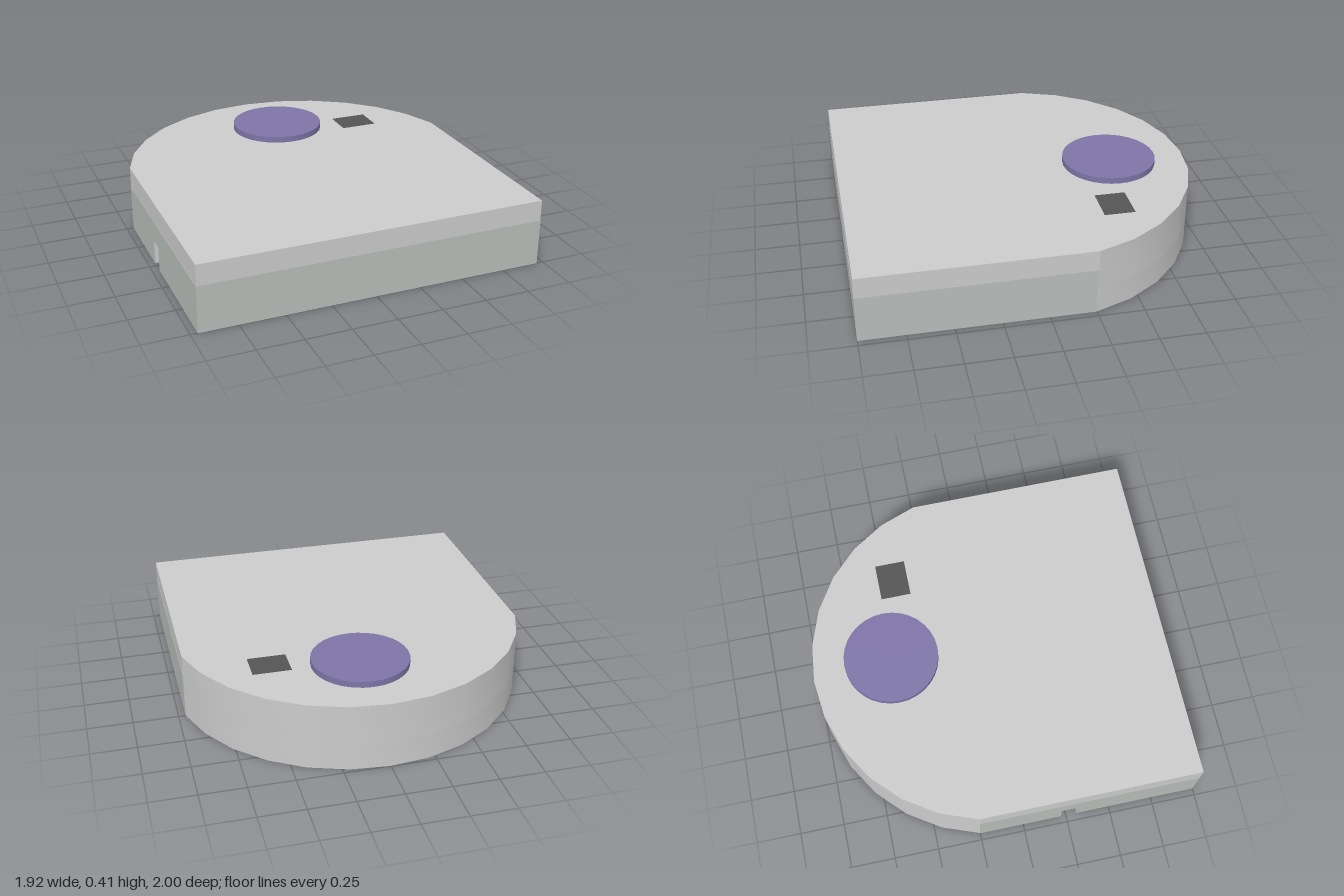
import * as THREE from 'three';
import { toCreasedNormals } from 'three/addons/utils/BufferGeometryUtils.js';

const HALF_W = 0.96, FRONT = 1, ARC_END = -0.25;
const HEIGHT = 0.375, BAND = 0.26, SKIN = 0.002;
const NOTCH = { back: 0.22, front: 0.31, top: 0.14, depth: 0.05 };

const mat = (color) => new THREE.MeshStandardMaterial({ color });

function part(name, geometry, material, x = 0, y = 0, z = 0) {
  const mesh = new THREE.Mesh(geometry, material);
  mesh.name = name;
  mesh.position.set(x, y, z);
  return mesh;
}

const polygon = (pts) => new THREE.Shape(pts.map(([x, y]) => new THREE.Vector2(x, y)));

// Plan outline (x, -z): square front, faceted round back, optional notch on the -x side
function outline(notched) {
  const pts = [[-HALF_W, -FRONT], [HALF_W, -FRONT]];
  const r = 0.99, sweep = Math.asin(HALF_W / r), steps = 12;
  for (let i = 0; i <= steps; i++) {
    const a = sweep * (1 - (2 * i) / steps);
    pts.push([r * Math.sin(a), 1 - r + r * Math.cos(a)]);
  }
  if (notched) {
    const inner = -HALF_W + NOTCH.depth;
    pts.push([-HALF_W, -NOTCH.back], [inner, -NOTCH.back], [inner, -NOTCH.front], [-HALF_W, -NOTCH.front]);
  }
  return polygon(pts);
}

function slab(notched, y0, y1) {
  const g = new THREE.ExtrudeGeometry(outline(notched), { depth: y1 - y0, bevelEnabled: false });
  g.rotateX(-Math.PI / 2).translate(0, y0, 0);
  return toCreasedNormals(g, 0.3);
}

// Thin side band, drawn in (-z, y) and turned to face along x
function sideBand(notched) {
  const pts = [[-FRONT, 0]];
  if (notched) pts.push([-NOTCH.front, 0], [-NOTCH.front, NOTCH.top], [-NOTCH.back, NOTCH.top], [-NOTCH.back, 0]);
  pts.push([-ARC_END, 0], [-ARC_END, BAND], [-FRONT, BAND]);
  return new THREE.ExtrudeGeometry(polygon(pts), { depth: SKIN, bevelEnabled: false }).rotateY(Math.PI / 2);
}

export function createModel() {
  const group = new THREE.Group();
  group.name = 'robotVacuum';
  const grey = mat(0xcccccc), bandMat = mat(0xb8bdba);

  // Body, with the notch only in the lower slab
  group.add(part('lowerBody', slab(true, 0, NOTCH.top), grey));
  group.add(part('upperBody', slab(false, NOTCH.top, HEIGHT), grey));

  // Bumper band around the three straight sides
  group.add(part('frontBand', new THREE.BoxGeometry(HALF_W * 2, BAND, SKIN), bandMat, 0, BAND / 2, FRONT + SKIN / 2));
  group.add(part('leftBand', sideBand(false), bandMat, HALF_W));
  group.add(part('rightBand', sideBand(true), bandMat, -HALF_W - SKIN));

  // Raised sensor disc and flat button on the top
  group.add(part('sensorDisc', new THREE.CylinderGeometry(0.267, 0.267, 0.035, 32), mat(0x7e75a8), 0.045, HEIGHT + 0.0175, -0.55));
  group.add(part('button', new THREE.BoxGeometry(0.21, 0.004, 0.17), mat(0x555555), 0.52, HEIGHT, -0.455));

  return group;
}
